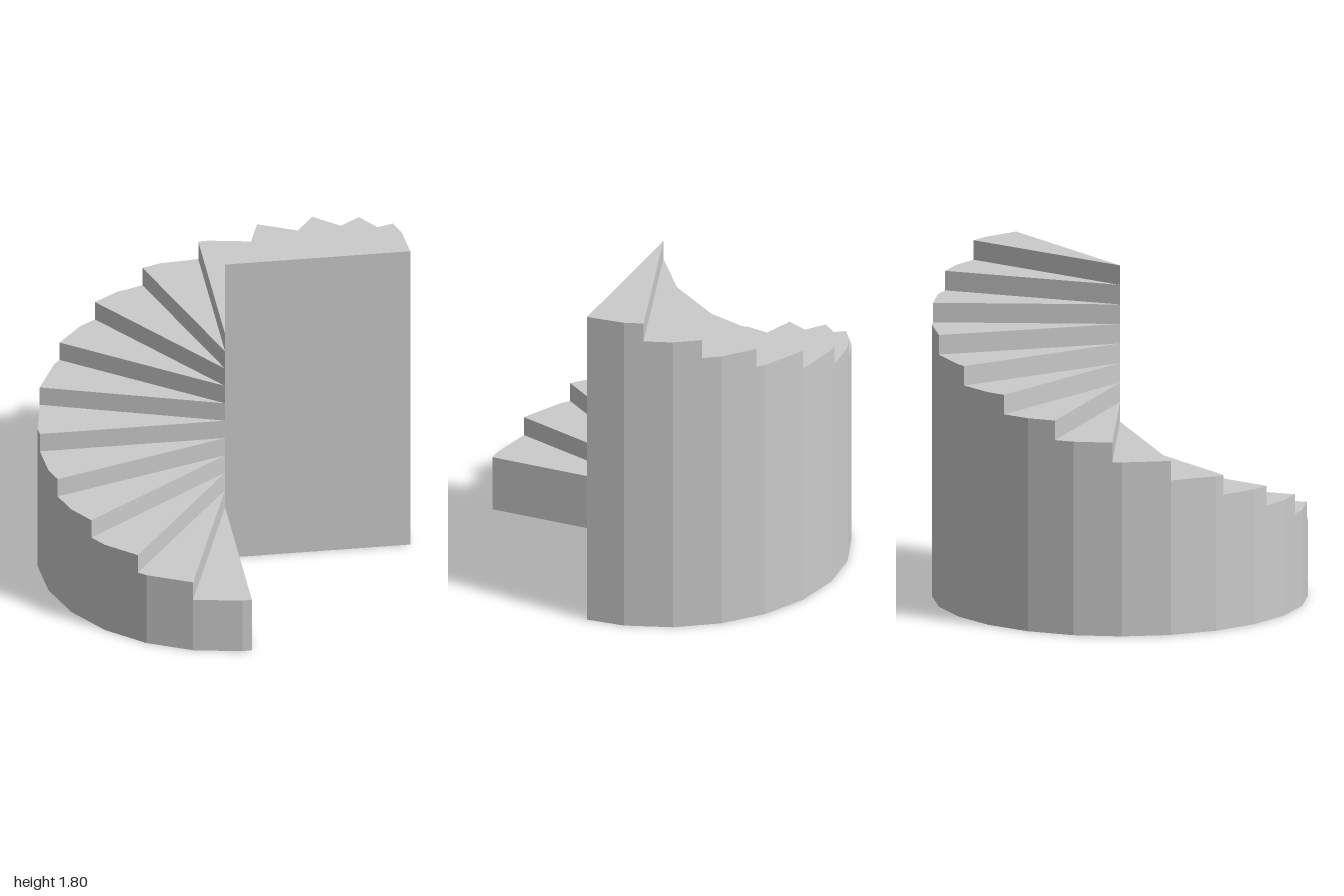
import * as THREE from 'three';

const STEPS = 15, SWEEP = 18;           // wedge steps, degrees each
const FIRST = 0.31, TOP = 1.80;         // tread heights of lowest and highest step
const RADIUS = 1.0014, SIDES = 24, PHASE = 3; // faceted outer wall
const FACET = 360 / SIDES;

// Distance from the axis to the faceted wall at an angle in degrees
function wallRadius(deg) {
  const offset = ((deg - PHASE) % FACET + FACET) % FACET - FACET / 2;
  return RADIUS * Math.cos(THREE.MathUtils.degToRad(FACET / 2)) / Math.cos(THREE.MathUtils.degToRad(offset));
}

// Plan point; angles start at the front (+z) and run clockwise through -x
function planPoint(deg) {
  const a = THREE.MathUtils.degToRad(deg), r = wallRadius(deg);
  return new THREE.Vector2(-r * Math.sin(a), -r * Math.cos(a));
}

// Solid wedge from the ground up to one tread
function wedge(start, end, height) {
  const angles = [start];
  for (let a = PHASE; a < end; a += FACET) if (a > start) angles.push(a);
  angles.push(end);
  const shape = new THREE.Shape([new THREE.Vector2(0, 0), ...angles.map(planPoint)]);
  const geometry = new THREE.ExtrudeGeometry(shape, { depth: height, bevelEnabled: false });
  return geometry.rotateX(-Math.PI / 2);
}

export function createModel() {
  const model = new THREE.Group();
  model.name = 'spiralStair';
  const material = new THREE.MeshStandardMaterial({ color: 0xcccccc, flatShading: true });

  // Steps climb three quarters of a turn
  for (let i = 0; i < STEPS; i++) {
    const height = FIRST + (TOP - FIRST) * i / (STEPS - 1);
    const step = new THREE.Mesh(wedge(i * SWEEP, (i + 1) * SWEEP, height), material);
    step.name = `step${i + 1}`;
    step.position.x = 0.002;
    model.add(step);
  }
  return model;
}
